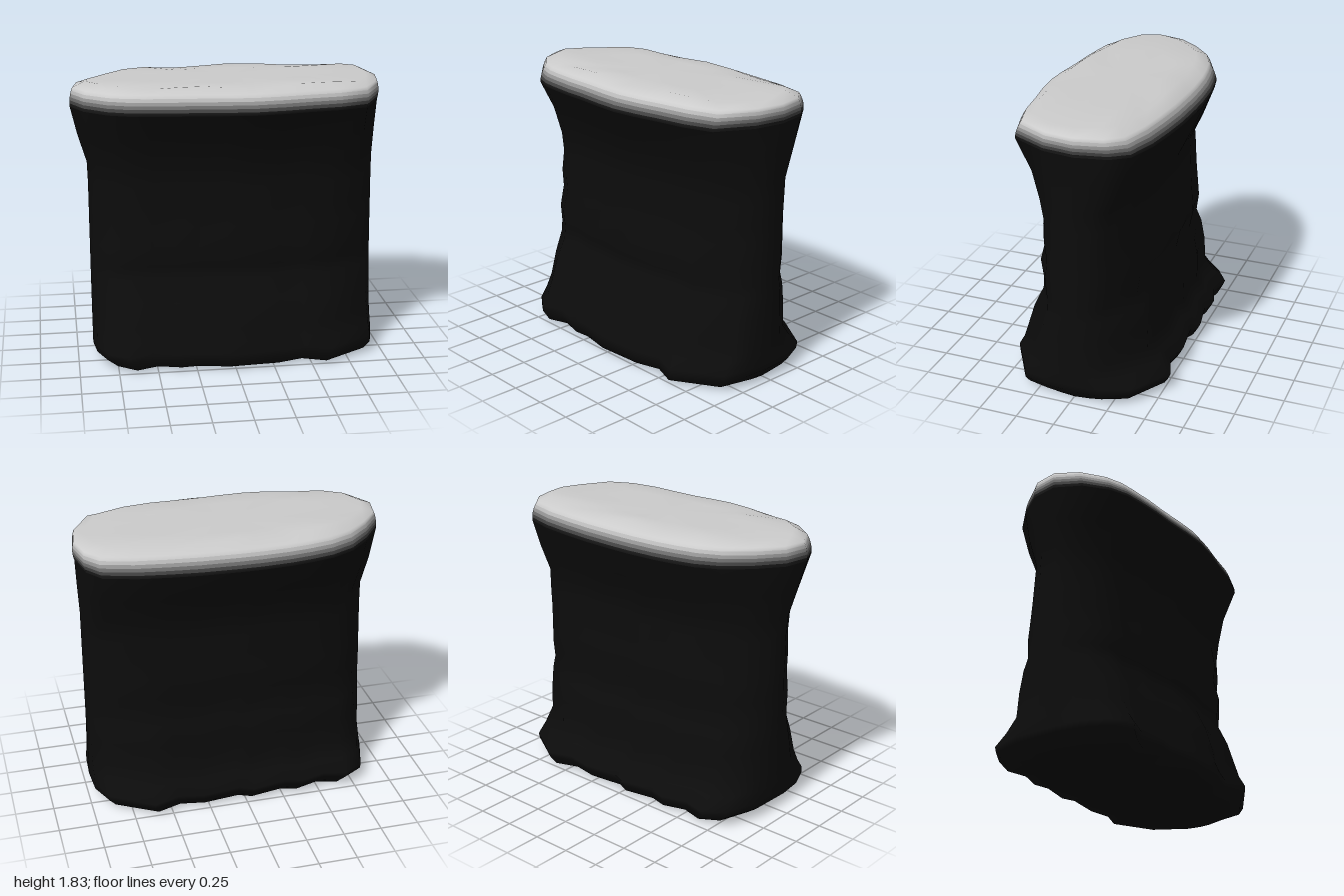
import * as THREE from 'three';

const { lerp, smoothstep } = THREE.MathUtils;

// Plan outlines [x, z], matched point for point, running right end, back, left end, front
const BASE = [
  [.97, 0], [.96, -.2], [.89, -.37], [.62, -.54], [.46, -.48], [.29, -.51], [.05, -.48],
  [-.04, -.52], [-.26, -.48], [-.38, -.51], [-.54, -.46], [-.69, -.5], [-.82, -.42], [-.89, -.2],
  [-.9, .1], [-.88, .27], [-.82, .42], [-.69, .51], [-.54, .46], [-.38, .5], [-.26, .49],
  [-.04, .53], [.12, .52], [.29, .51], [.46, .46], [.62, .52], [.92, .34], [.96, .18],
];
const RIM = [
  [1, -.05], [.96, -.25], [.88, -.36], [.68, -.42], [.48, -.45], [.29, -.47], [.05, -.48],
  [-.1, -.48], [-.28, -.47], [-.42, -.45], [-.56, -.42], [-.71, -.35], [-.85, -.22], [-.97, -.06],
  [-1, .11], [-.92, .27], [-.78, .39], [-.66, .44], [-.54, .46], [-.38, .48], [-.22, .49],
  [-.04, .51], [.12, .52], [.3, .5], [.46, .47], [.66, .44], [.85, .38], [.97, .15],
];

// Side profile of the body: [y, back z, front z]
const PROFILE = [
  [.07, .51, .525], [.11, .53, .53], [.18, .46, .5], [.27, .4, .485], [.43, .4, .435],
  [.57, .375, .365], [.65, .335, .36], [.77, .36, .385], [.91, .35, .345], [1.03, .34, .36],
  [1.17, .335, .335], [1.3, .325, .355], [1.48, .41, .4],
];

const RIM_BOTTOM = 1.67, RIM_STEPS = 6;
const DARK = new THREE.Color(0x0c0c0c), LIGHT = new THREE.Color(0xcccccc);

// One ring of points at height y, reaching the given distance to each side
function ring(y, left, right, back, front, waviness = 0) {
  const fit = ([x, z], l, r, b, f) => [
    x * (x < 0 ? left / l : right / r),
    z * (z < 0 ? back / b : front / f),
  ];
  const blend = Math.min(1, y / RIM_BOTTOM) ** 1.3;
  // Rounder ends along the waist
  const pinch = .28 * smoothstep(y, .08, .3) * (1 - smoothstep(y, .7, RIM_BOTTOM));
  return BASE.flatMap((point, i) => {
    const a = fit(point, .9, .97, .53, .53);
    const b = fit(RIM[i], 1, 1, .48, .52);
    const narrow = 1 - pinch * Math.abs(point[0] / .95) ** 4;
    return [lerp(a[0], b[0], blend), y + waviness * Math.sin(i * 1.35), lerp(a[1], b[1], blend) * narrow];
  });
}

function stitch(ringCount) {
  const n = BASE.length, index = [];
  for (let k = 0; k < ringCount - 1; k++) {
    for (let i = 0; i < n; i++) {
      const a = k * n + i, b = k * n + (i + 1) % n;
      index.push(a, b, b + n, a, b + n, a + n);
    }
  }
  return index;
}

export function createModel() {
  // Underside and body
  const rings = [ring(0, 0, 0, 0, 0), ring(0, .82, .92, .23, .23), ring(.02, .83, .93, .48, .51)];
  for (const [y, back, front] of PROFILE) {
    const left = .9 + .1 * smoothstep(y, 1.25, RIM_BOTTOM);
    const right = .972 + .02 * smoothstep(y, 1.3, RIM_BOTTOM);
    rings.push(ring(y, left, right, back, front));
  }
  // Rounded rim
  const rimStart = rings.length;
  for (let k = 0; k <= RIM_STEPS; k++) {
    const s = k / RIM_STEPS, inset = .06 * s ** 1.5;
    rings.push(ring(RIM_BOTTOM + .12 * s, 1 - .02 * s ** 3, .99 + .01 * Math.sin(s * Math.PI), .485 - inset, .525 - inset));
  }
  // Nearly flat top
  const capStart = rings.length - 2;
  rings.push(ring(1.822, .9, .92, .34, .4, .008), ring(1.825, .55, .55, .22, .25), ring(1.825, 0, 0, 0, 0));

  // One smooth skin gives the normals that all bands share
  const skin = new THREE.BufferGeometry();
  skin.setAttribute('position', new THREE.Float32BufferAttribute(rings.flat(), 3));
  skin.setIndex(stitch(rings.length));
  skin.computeVertexNormals();
  // Centre points of underside and top point straight down and up
  const n = BASE.length, last = rings.length - 1;
  for (let i = 0; i < n; i++) {
    skin.attributes.normal.setXYZ(i, 0, -1, 0);
    skin.attributes.normal.setXYZ(last * n + i, 0, 1, 0);
  }

  // Each part keeps only its own rings
  const group = new THREE.Group();
  group.name = 'stonePillar';
  const addBand = (name, from, to, color) => {
    const geometry = new THREE.BufferGeometry();
    for (const key of ['position', 'normal']) {
      const part = skin.attributes[key].array.slice(from * n * 3, (to + 1) * n * 3);
      geometry.setAttribute(key, new THREE.BufferAttribute(part, 3));
    }
    geometry.setIndex(stitch(to - from + 1));
    const mesh = new THREE.Mesh(geometry, new THREE.MeshStandardMaterial({ color }));
    mesh.name = name;
    group.add(mesh);
  };

  // Dark body, light top, and a gradient of narrow bands between
  addBand('body', 0, rimStart, DARK);
  for (let k = rimStart; k < capStart; k++) {
    const t = (k - rimStart + .5) / (capStart - rimStart);
    addBand(`rimBand${k - rimStart + 1}`, k, k + 1, DARK.clone().lerp(LIGHT, t * t));
  }
  addBand('topCap', capStart, last, LIGHT);
  return group;
}
